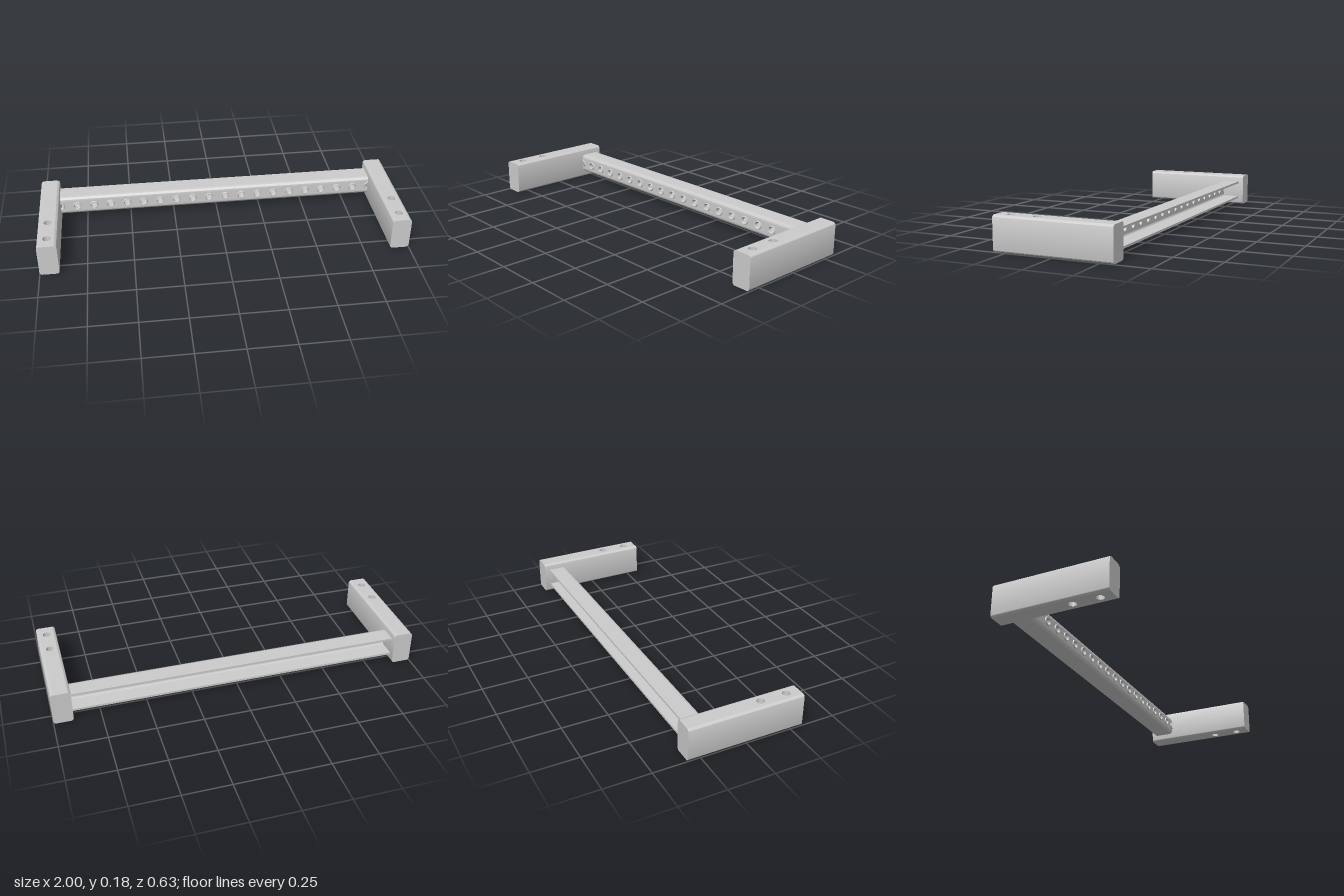
import * as THREE from 'three';
import { toCreasedNormals } from 'three/addons/utils/BufferGeometryUtils.js';

const ARM = { w: 0.105, h: 0.18, d: 0.634, r: 0.016 };
const BAR = { y: 0.09, half: 0.0535, front: -0.179, back: -0.286, t: 0.012, r: 0.022, len: 1.84 };
const PITCH = 0.0943, HOLES = 20, HOLE_R = 0.0165;

const material = new THREE.MeshStandardMaterial({ color: 0xcccccc });

function addMesh(parent, name, geometry) {
  const mesh = new THREE.Mesh(geometry, material);
  mesh.name = name;
  parent.add(mesh);
  return mesh;
}

function extrude(shape, depth) {
  const geo = new THREE.ExtrudeGeometry(shape, { depth, bevelEnabled: false, curveSegments: 20 });
  return toCreasedNormals(geo, 0.6);
}

function rect(x0, y0, x1, y1) {
  return new THREE.Shape([[x0, y0], [x1, y0], [x1, y1], [x0, y1]].map(p => new THREE.Vector2(...p)));
}

function punch(shape, x, y, r) {
  shape.holes.push(new THREE.Path().absarc(x, y, r, 0, Math.PI * 2, true));
}

// Side arm: drilled core between two strips with rounded long edges
function createArm(name, x) {
  const arm = new THREE.Group();
  arm.name = name;
  const { w, h, d, r } = ARM, inner = w / 2 - r;

  const plan = rect(-inner, -d / 2, inner, d / 2);
  for (const z of [0.1, 0.245]) punch(plan, 0, z, 0.021);
  addMesh(arm, 'armCore', extrude(plan, h).rotateX(Math.PI / 2).translate(0, h, 0));

  const edge = new THREE.Shape();
  edge.moveTo(inner, 0);
  edge.absarc(inner, r, r, -Math.PI / 2, 0, false);
  edge.absarc(inner, h - r, r, 0, Math.PI / 2, false);
  edge.closePath();
  const strip = extrude(edge, d).translate(0, 0, -d / 2);
  addMesh(arm, 'armOuterEdge', strip);
  addMesh(arm, 'armInnerEdge', strip.clone().rotateY(Math.PI));

  arm.position.x = x;
  return arm;
}

// Channel flange with its rounded corner; side is +1 for top, -1 for bottom
function flangeGeometry(side) {
  const { y, half, front, back, t, r, len } = BAR;
  const v = h => y + side * h;
  const s = new THREE.Shape();
  s.moveTo(-back, v(half));
  s.lineTo(-front + r, v(half));
  s.quadraticCurveTo(-front, v(half), -front, v(half - r));
  s.lineTo(-front + t, v(half - r));
  s.quadraticCurveTo(-front + t, v(half - t), -front + r, v(half - t));
  s.lineTo(-back, v(half - t));
  s.closePath();
  return extrude(s, len).rotateY(Math.PI / 2).translate(-len / 2, 0, 0);
}

// Cross bar: channel open at the back, with a row of collared holes in its web
function createCrossBar() {
  const bar = new THREE.Group();
  bar.name = 'crossBar';
  const { y, half, front, t, r, len } = BAR;

  addMesh(bar, 'topFlange', flangeGeometry(1));
  addMesh(bar, 'bottomFlange', flangeGeometry(-1));

  const web = rect(-len / 2, y - half + r, len / 2, y + half - r);
  // Raised rounded lip around each hole
  const lip = [[0.024, -0.001], [0.0235, 0.004], [0.0215, 0.0065], [0.019, 0.0065],
    [0.017, 0.004], [HOLE_R, -0.001]].map(p => new THREE.Vector2(...p));
  const collar = new THREE.LatheGeometry(lip.reverse(), 28).rotateX(Math.PI / 2);
  const lipMaterial = material.clone();
  lipMaterial.side = THREE.DoubleSide;

  for (let i = 0; i < HOLES; i++) {
    const x = (i - (HOLES - 1) / 2) * PITCH;
    punch(web, x, y, HOLE_R);
    const mesh = addMesh(bar, 'holeCollar', collar);
    mesh.material = lipMaterial;
    mesh.position.set(x, y, front);
  }
  addMesh(bar, 'web', extrude(web, t).translate(0, 0, front - t));
  return bar;
}

export function createModel() {
  const model = new THREE.Group();
  model.name = 'crossMember';
  const x = 1 - ARM.w / 2;
  model.add(createArm('leftArm', x), createArm('rightArm', -x), createCrossBar());
  return model;
}
